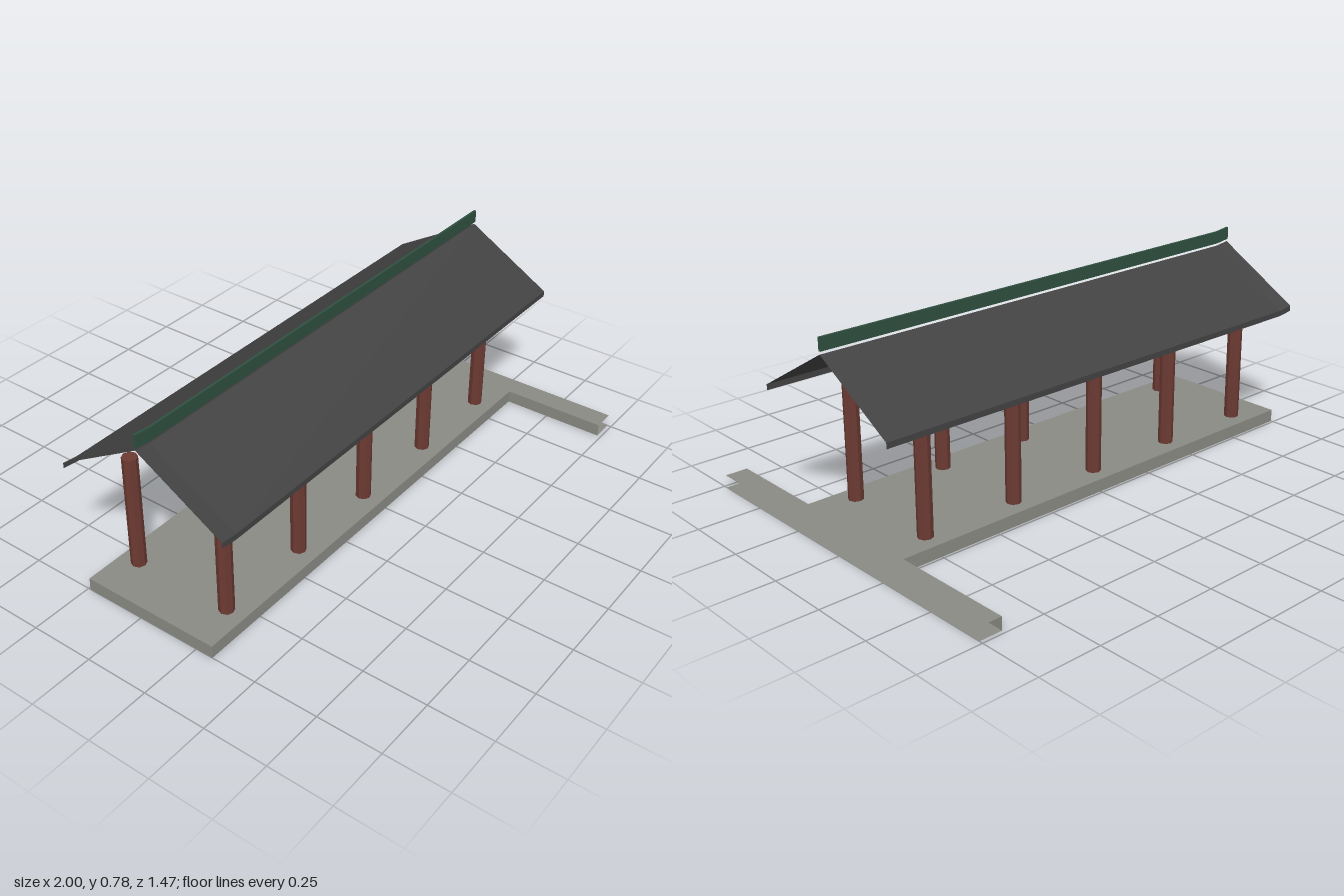
import * as THREE from 'three';

const mat = (name, color) => {
  const m = new THREE.MeshStandardMaterial({ color, side: THREE.DoubleSide, flatShading: true });
  m.name = name;
  return m;
};

// Surface from a list of four-cornered faces
function quads(list) {
  const pos = [];
  for (const [a, b, c, d] of list) pos.push(...a, ...b, ...c, ...a, ...c, ...d);
  const g = new THREE.BufferGeometry();
  g.setAttribute('position', new THREE.Float32BufferAttribute(pos, 3));
  g.computeVertexNormals();
  return g;
}

// Sweep a [z, y] profile along x; each station is [x, lift]
function sweep(profile, stations) {
  const list = [];
  for (let s = 0; s < stations.length - 1; s++) {
    const at = (k, [z, y]) => [stations[k][0], y + stations[k][1], z];
    for (let i = 0; i < profile.length - 1; i++) {
      const p = profile[i], q = profile[i + 1];
      list.push([at(s, p), at(s + 1, p), at(s + 1, q), at(s, q)]);
    }
  }
  return quads(list);
}

export function createModel() {
  const group = new THREE.Group();
  const stone = mat('stone grey', 0x8a8a84);
  const wood = mat('red brown wood', 0x6b3a32);
  const tile = mat('charcoal tile', 0x424242);
  const green = mat('ridge green', 0x2f4f40);
  const add = (name, geo, material, parent = group) => {
    const m = new THREE.Mesh(geo, material);
    m.name = name;
    parent.add(m);
    return m;
  };

  // T-shaped platform, open along the outer edge and ends of the cross strip
  const H = 0.05;
  const outline = [[0.91, 0.735], [0.91, 0.32], [-1, 0.32], [-1, -0.24], [0.91, -0.24], [0.91, -0.735]];
  const walls = [];
  for (let i = 0; i < outline.length - 1; i++) {
    const [ax, az] = outline[i], [bx, bz] = outline[i + 1];
    walls.push([[ax, 0, az], [ax, H, az], [bx, H, bz], [bx, 0, bz]]);
  }
  add('platformSides', quads(walls), stone);
  const full = [...outline, [1, -0.735], [1, 0.735]];
  const sheet = (sign) => new THREE.ShapeGeometry(
    new THREE.Shape(full.map(([x, z]) => new THREE.Vector2(x, sign * z)))).rotateX(sign * Math.PI / 2);
  add('platformTop', sheet(-1).translate(0, H, 0), stone);
  add('platformBottom', sheet(1), stone);

  // Two rows of five columns
  const columns = new THREE.Group();
  columns.name = 'columns';
  group.add(columns);
  const colGeo = new THREE.CylinderGeometry(0.029, 0.029, 0.47, 8);
  for (const z of [0.242, -0.162]) {
    for (let i = 0; i < 5; i++) {
      add('column', colGeo, wood, columns).position.set(-0.832 + i * 0.3975, 0.275, z);
    }
  }

  // Gabled roof with eave boards, its far end slightly upturned
  const stations = [[-1, 0.008], [-0.935, 0], [1, 0]];
  add('roof', sweep([[0.387, 0.49], [0.387, 0.512], [0.043, 0.711], [-0.302, 0.512], [-0.302, 0.49]], stations), tile);

  // Ridge beam floating just above the roof
  const ridge = [[0.048, 0.722], [0.048, 0.771], [0.038, 0.771], [0.038, 0.722], [0.048, 0.722]];
  add('ridge', sweep(ridge, stations), green);
  const cap = new THREE.PlaneGeometry(0.01, 0.049).rotateY(-Math.PI / 2);
  add('ridgeEnd', cap, green).position.set(-1, 0.7545, 0.043);

  return group;
}
